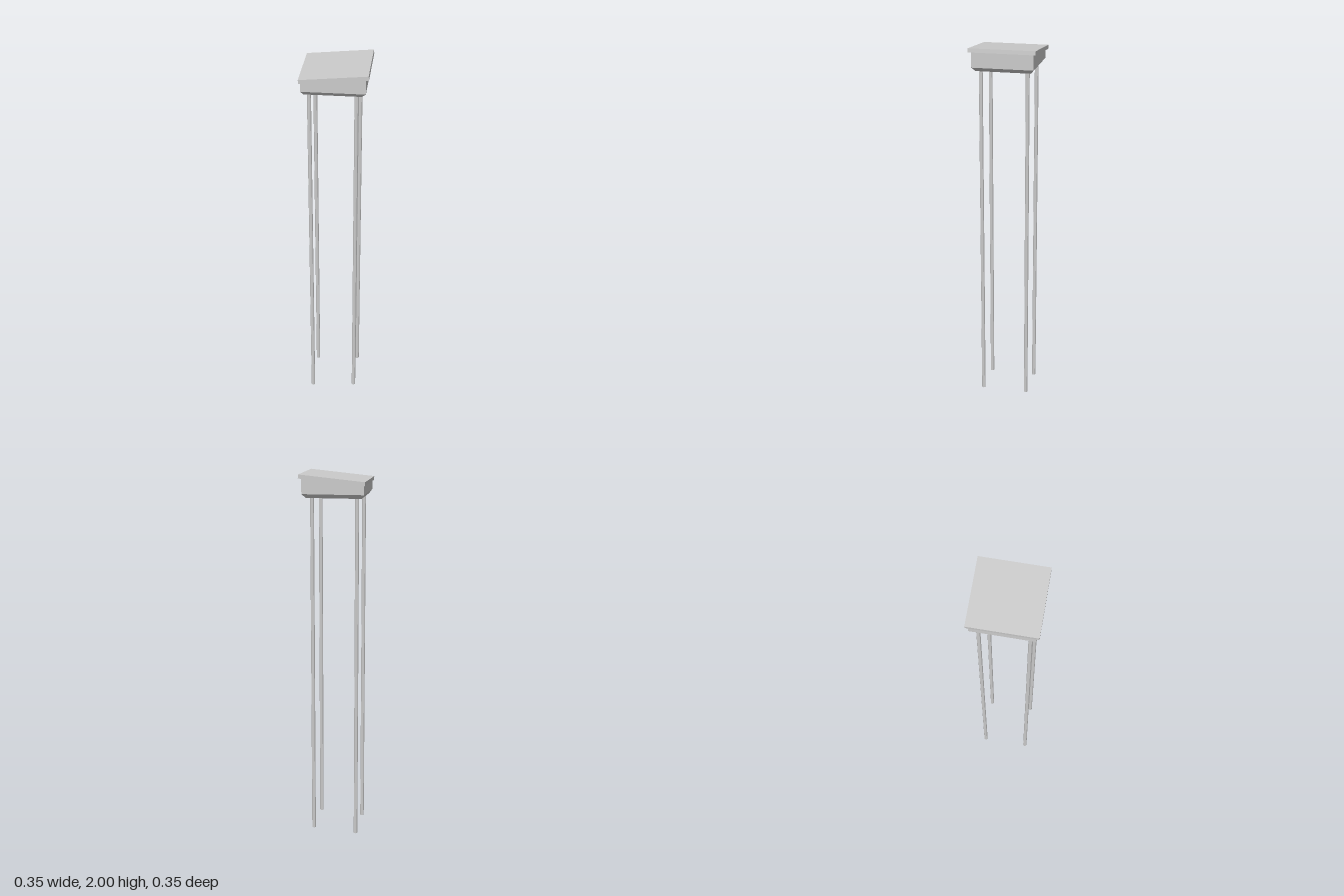
import * as THREE from 'three';

const material = new THREE.MeshStandardMaterial({ color: 0xcccccc, flatShading: true });

export function createModel() {
  const model = new THREE.Group();
  const add = (name, geometry) => {
    const mesh = new THREE.Mesh(geometry, material);
    mesh.name = name;
    model.add(mesh);
    return mesh;
  };

  // Sloping square lid, higher at its left (+x) end
  const tilt = 0.098, thickness = 0.021, lidY = 1.9722;
  const lid = add('lid', new THREE.BoxGeometry(0.35, thickness, 0.351));
  lid.position.y = lidY;
  lid.rotation.z = tilt;

  // Tub under the lid: rows are base, chamfer edge and sloped rim
  const underside = x => lidY - thickness / 2 + x * Math.tan(tilt) + 0.001;
  const rows = [
    { y: 1.877, x0: -0.153, x1: 0.139, z: 0.145 },
    { y: 1.898, x0: -0.167, x1: 0.16, z: 0.162 },
    { x0: -0.167, x1: 0.16, z: 0.162 },
  ];
  const tub = new THREE.BoxGeometry(2, 2, 2, 1, 2, 1);
  const p = tub.attributes.position;
  for (let i = 0; i < p.count; i++) {
    const row = rows[Math.round(p.getY(i)) + 1];
    const x = p.getX(i) < 0 ? row.x0 : row.x1;
    p.setXYZ(i, x, row.y ?? underside(x), Math.sign(p.getZ(i)) * row.z);
  }
  tub.computeVertexNormals();
  add('tub', tub);

  // Four slender posts; the left pair ends slightly higher
  const posts = [
    ['rightFrontPost', -0.127, 0.129, 0],
    ['rightBackPost', -0.127, -0.123, 0],
    ['leftFrontPost', 0.111, 0.124, 0.018],
    ['leftBackPost', 0.111, -0.123, 0.018],
  ];
  for (const [name, x, z, foot] of posts) {
    const top = 1.88;
    const post = add(name, new THREE.CylinderGeometry(0.0105, 0.0105, top - foot, 8));
    post.position.set(x, (top + foot) / 2, z);
  }

  return model;
}
